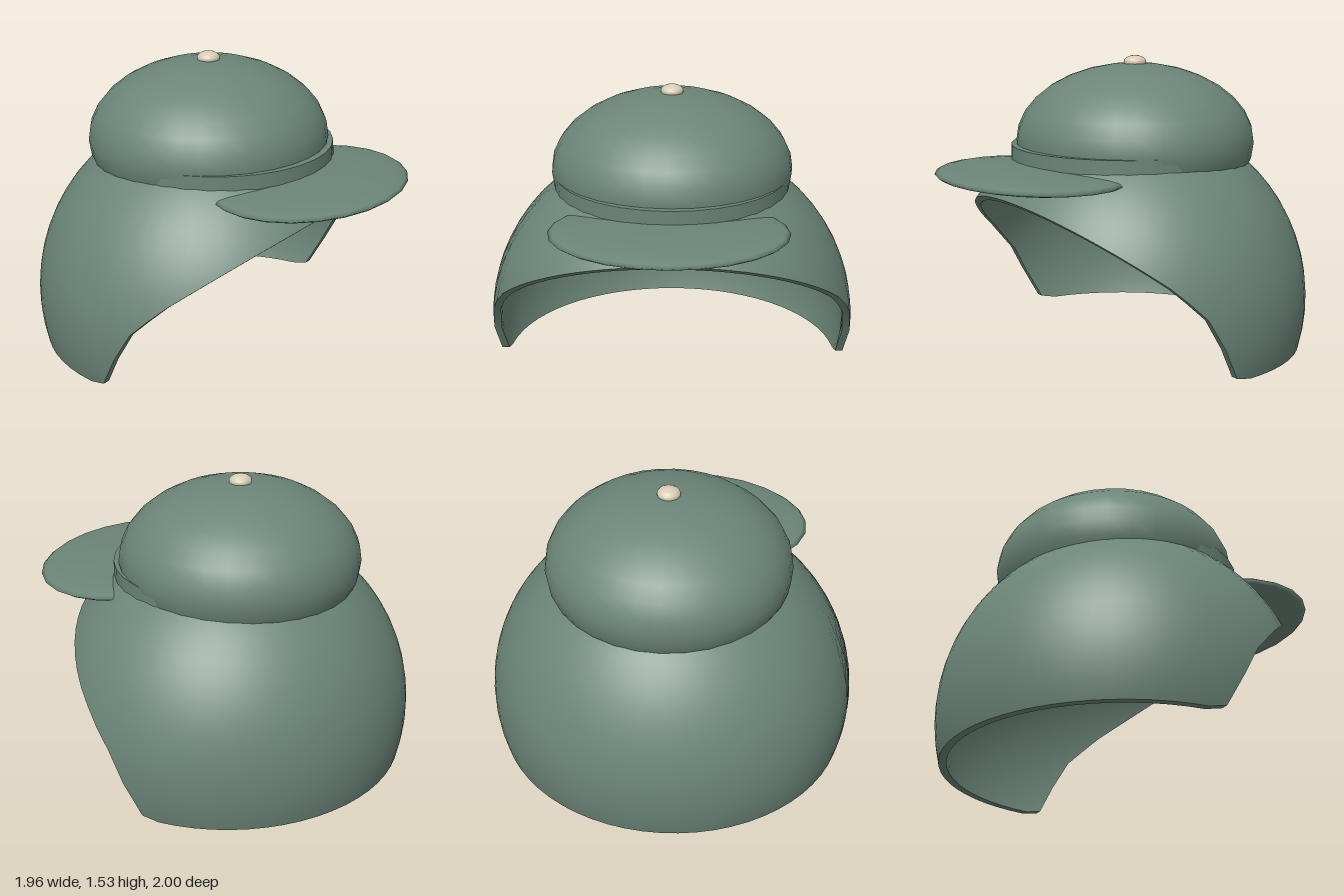
import * as THREE from 'three';
import { ParametricGeometry } from 'three/addons/geometries/ParametricGeometry.js';

const green = new THREE.MeshStandardMaterial({ color: 0x6b8578 });
const cream = new THREE.MeshStandardMaterial({ color: 0xd8ccb4 });

// Side profile of the lower edge as [z, y], from the back corner up to the brow
const edge = [[-0.06, 0], [0.12, 0.33], [0.28, 0.49], [0.70, 0.83], [1.2, 1.23]];

function edgeHeight(z) {
  if (z <= edge[0][0]) return 0;
  const i = Math.max(1, edge.findIndex((p) => p[0] >= z));
  const [z0, y0] = edge[i - 1];
  const [z1, y1] = edge[i];
  return y0 + ((y1 - y0) * (z - z0)) / (z1 - z0);
}

// Point on a dome of the given radii
function domePoint([rx, ry, rz], theta, phi, target) {
  const s = Math.sin(theta);
  return target.set(rx * s * Math.sin(phi), 0.25 + ry * Math.cos(theta), -0.05 + rz * s * Math.cos(phi));
}

// Polar angle at which a meridian of the dome meets the lower edge
function edgeAngle(radii, phi) {
  const p = new THREE.Vector3();
  let lo = 0, hi = Math.PI;
  for (let i = 0; i < 40; i++) {
    const mid = (lo + hi) / 2;
    domePoint(radii, mid, phi, p);
    if (p.y > edgeHeight(p.z)) lo = mid; else hi = mid;
  }
  return lo;
}

function part(name, geometry, material = green) {
  const mesh = new THREE.Mesh(geometry, material);
  mesh.name = name;
  return mesh;
}

function ellipsoid(name, radii, center, segments, material) {
  const geometry = new THREE.SphereGeometry(1, segments, Math.round(segments / 2));
  geometry.scale(...radii).translate(...center);
  return part(name, geometry, material);
}

// Thick dome cut along the edge profile: outside, lining and the rim between
function createShell() {
  const outer = [0.98, 0.97, 0.95];
  const inner = [0.94, 0.94, 0.91];
  const angle = (v) => Math.PI + v * Math.PI * 2;
  const skin = (radii, flip) => (u, v, target) => {
    const phi = angle(v);
    domePoint(radii, (flip ? 1 - u : u) * edgeAngle(radii, phi), phi, target);
  };
  const end = new THREE.Vector3();
  const rim = (u, v, target) => {
    const phi = angle(v);
    domePoint(outer, edgeAngle(outer, phi), phi, target);
    domePoint(inner, edgeAngle(inner, phi), phi, end);
    target.lerp(end, u);
  };
  const shell = new THREE.Group();
  shell.name = 'shell';
  shell.add(
    part('shellOutside', new ParametricGeometry(skin(outer, false), 18, 64)),
    part('shellLining', new ParametricGeometry(skin(inner, true), 18, 64)),
    part('shellRim', new ParametricGeometry(rim, 1, 64)),
  );
  return shell;
}

export function createModel() {
  const cap = new THREE.Group();
  cap.name = 'cap';
  cap.add(createShell());

  // Rounded crown, with its underside hanging inside the shell
  cap.add(ellipsoid('crown', [0.64, 0.41, 0.63], [0, 1.08, -0.1], 32));

  // Band showing at the front of the crown
  const band = new THREE.CylinderGeometry(0.62, 0.62, 0.12, 32);
  band.translate(0, 1.01, -0.055);
  cap.add(part('band', band));

  // Flat lens-shaped brim and the top button
  cap.add(ellipsoid('brim', [0.6, 0.05, 0.46], [0, 0.95, 0.54], 24));
  cap.add(ellipsoid('button', [0.06, 0.035, 0.06], [0, 1.495, -0.1], 20, cream));
  return cap;
}
